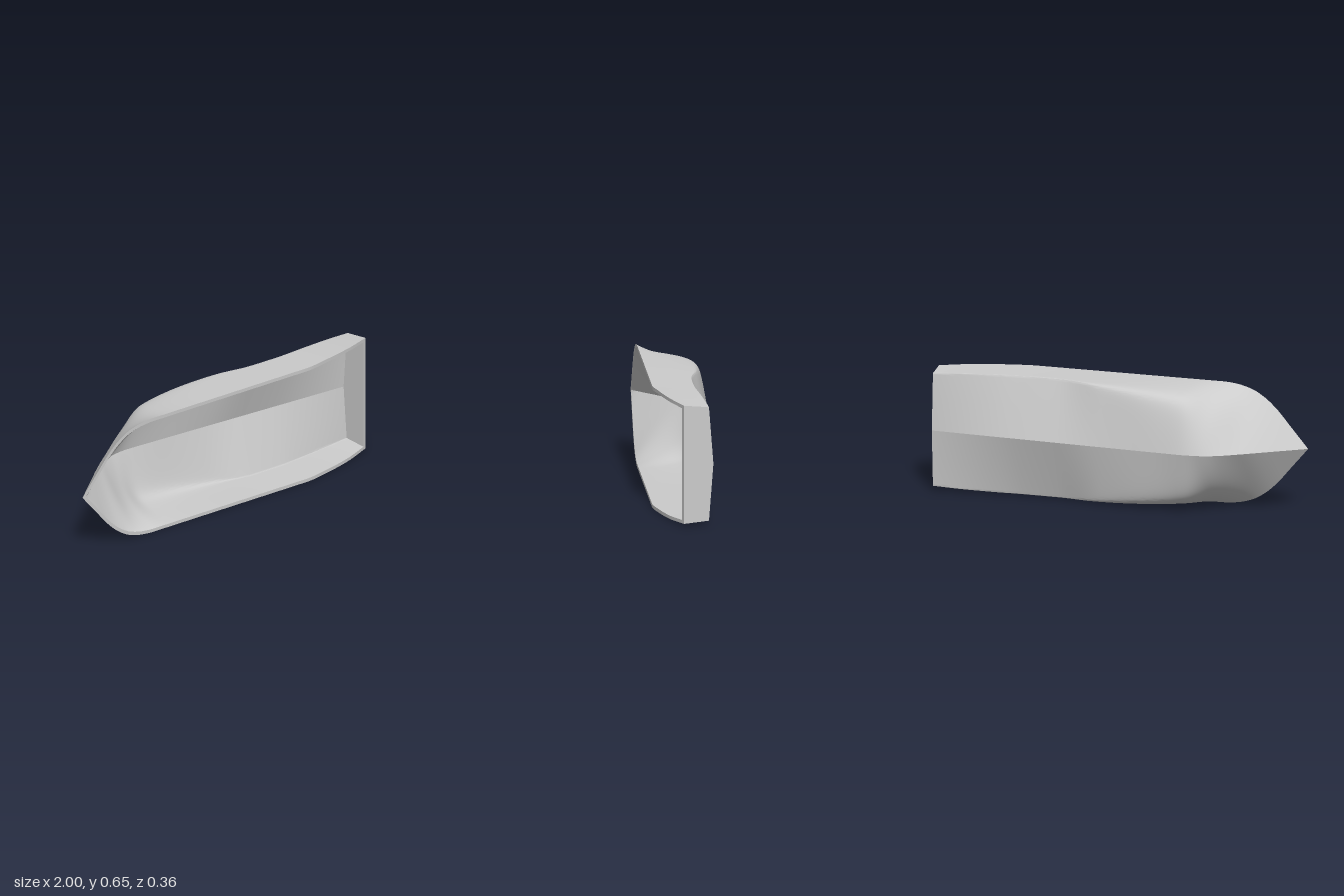
import * as THREE from 'three';
import { toCreasedNormals } from 'three/addons/utils/BufferGeometryUtils.js';

const MID = 0.324, WALL = 0.018, STERN = 0.983, BOW = -1;
const ROWS = 96, COLS = 32;

// Monotone cubic through [x, value] points
function curve(points) {
  const n = points.length;
  const d = [];
  for (let i = 0; i < n - 1; i++) {
    d.push((points[i + 1][1] - points[i][1]) / (points[i + 1][0] - points[i][0]));
  }
  const m = points.map((p, i) => {
    if (i === 0) return d[0];
    if (i === n - 1) return d[n - 2];
    return d[i - 1] * d[i] <= 0 ? 0 : 2 * d[i - 1] * d[i] / (d[i - 1] + d[i]);
  });
  return (x) => {
    let i = 0;
    while (i < n - 2 && x > points[i + 1][0]) i++;
    const h = points[i + 1][0] - points[i][0];
    const t = Math.min(1, Math.max(0, (x - points[i][0]) / h));
    const t2 = t * t, t3 = t2 * t;
    return points[i][1] * (2 * t3 - 3 * t2 + 1) + h * m[i] * (t3 - 2 * t2 + t)
      + points[i + 1][1] * (3 * t2 - 2 * t3) + h * m[i + 1] * (t3 - t2);
  };
}

// Hull lines along the length: keel, sheer height, half beam
const keel = curve([[-1, 0.18], [-0.85, 0.055], [-0.7, -0.07], [-0.6, -0.143], [-0.52, -0.173],
  [-0.43, -0.182], [-0.3, -0.176], [0.3, -0.143], [0.983, -0.105]]);
const sheer = curve([[-1, 0.18], [0.5, 0.18], [0.65, 0.155], [0.82, 0.112], [0.983, 0.05]]);
const beam = curve([[-1, 0], [-0.9, 0.115], [-0.83, 0.195], [-0.76, 0.256], [-0.685, 0.297],
  [-0.6, 0.318], [-0.53, 0.3235], [0.6, 0.3235], [0.8, 0.321], [0.983, 0.314]]);
// Bilge corner as fractions of half beam and depth, and its sharpness
const bilgeOut = curve([[-1, 0.5], [-0.72, 0.5], [-0.55, 0.68], [-0.4, 0.9], [-0.2, 0.96],
  [0.05, 0.98], [0.3, 0.98], [0.983, 0.96]]);
const bilgeUp = curve([[-1, 0.5], [-0.72, 0.5], [-0.55, 0.28], [-0.4, 0.18], [-0.2, 0.15],
  [0.05, 0.2], [0.3, 0.315], [0.983, 0.15]]);
const logSharp = curve([[-1, 0], [-0.7, 0], [-0.55, 0.4], [-0.4, 1.3], [-0.2, 1.8],
  [0.05, 2.8], [0.3, 5.3], [0.983, 5.5]]);

const slopeScale = (f, x) => Math.hypot(1, (f(x + 0.005) - f(x - 0.005)) / 0.01);

// The stern leans back with height
function rakedX(x, z) {
  const t = THREE.MathUtils.clamp((x - 0.5) / (STERN - 0.5), 0, 1);
  return x + t * t * 0.11 * (z + 0.105);
}

// Half section from keel to sheer, as [x, half breadth, z] points
function section(x, wall) {
  const top = sheer(x);
  const low = Math.min(top, keel(x) + wall * slopeScale(keel, x));
  const half = Math.max(0, beam(x) - wall * slopeScale(beam, x));
  const w = Math.exp(logSharp(x));
  const cy = bilgeOut(x) * half, cz = low + bilgeUp(x) * (top - low);
  const points = [];
  for (let j = 0; j <= COLS; j++) {
    const t = 0.5 - 0.5 * Math.cos(Math.PI * j / COLS);
    const a = (1 - t) * (1 - t), b = 2 * w * t * (1 - t), c = t * t, s = a + b + c;
    const z = (a * low + b * cz + c * top) / s;
    points.push([rakedX(x, z), (b * cy + c * half) / s, z]);
  }
  return points;
}

function sections(x0, x1, wall) {
  return Array.from({ length: ROWS + 1 }, (_, i) => section(x0 + (x1 - x0) * i / ROWS, wall));
}

// Surface through rows of points, on one side of the centreline
function skin(rows, side, flip) {
  const pos = [], index = [], n = rows[0].length;
  for (const row of rows) for (const [x, h, z] of row) pos.push(x, MID + side * h, z);
  for (let i = 0; i < rows.length - 1; i++) {
    for (let j = 0; j < n - 1; j++) {
      const a = i * n + j, b = a + 1, c = a + n, d = c + 1;
      if ((side > 0) !== flip) index.push(a, b, c, b, d, c);
      else index.push(a, c, b, b, c, d);
    }
  }
  const g = new THREE.BufferGeometry();
  g.setAttribute('position', new THREE.Float32BufferAttribute(pos, 3));
  g.setIndex(index);
  return toCreasedNormals(g, 0.5);
}

export function createModel() {
  const model = new THREE.Group();
  model.name = 'boatHull';
  const material = new THREE.MeshStandardMaterial({ color: 0xcccccc, side: THREE.DoubleSide });

  const outer = sections(BOW, STERN, 0);
  const inner = sections(-0.976, STERN - 0.02, WALL);
  const sheerLine = (rows) => rows.map((r) => r[COLS]);
  const toCentre = (row) => row.map(([x, , z]) => [x, 0, z]);
  const outerEnd = outer[ROWS], innerEnd = inner[ROWS];

  for (const side of [1, -1]) {
    const half = new THREE.Group();
    half.name = side > 0 ? 'upperHalf' : 'lowerHalf';
    const add = (name, rows, flip) => {
      const mesh = new THREE.Mesh(skin(rows, side, flip), material);
      mesh.name = name;
      half.add(mesh);
    };
    add('outerShell', outer, true);
    add('innerShell', inner, false);
    // Rim around the opening
    add('gunwale', [sheerLine(outer), sheerLine(inner)], false);
    // Flat stern board with its top edge
    add('transomOutside', [outerEnd, toCentre(outerEnd)], true);
    add('transomInside', [innerEnd, toCentre(innerEnd)], false);
    add('transomTop', [[outerEnd[COLS], innerEnd[COLS]],
      toCentre([outerEnd[COLS], innerEnd[COLS]])], true);
    model.add(half);
  }
  return model;
}
